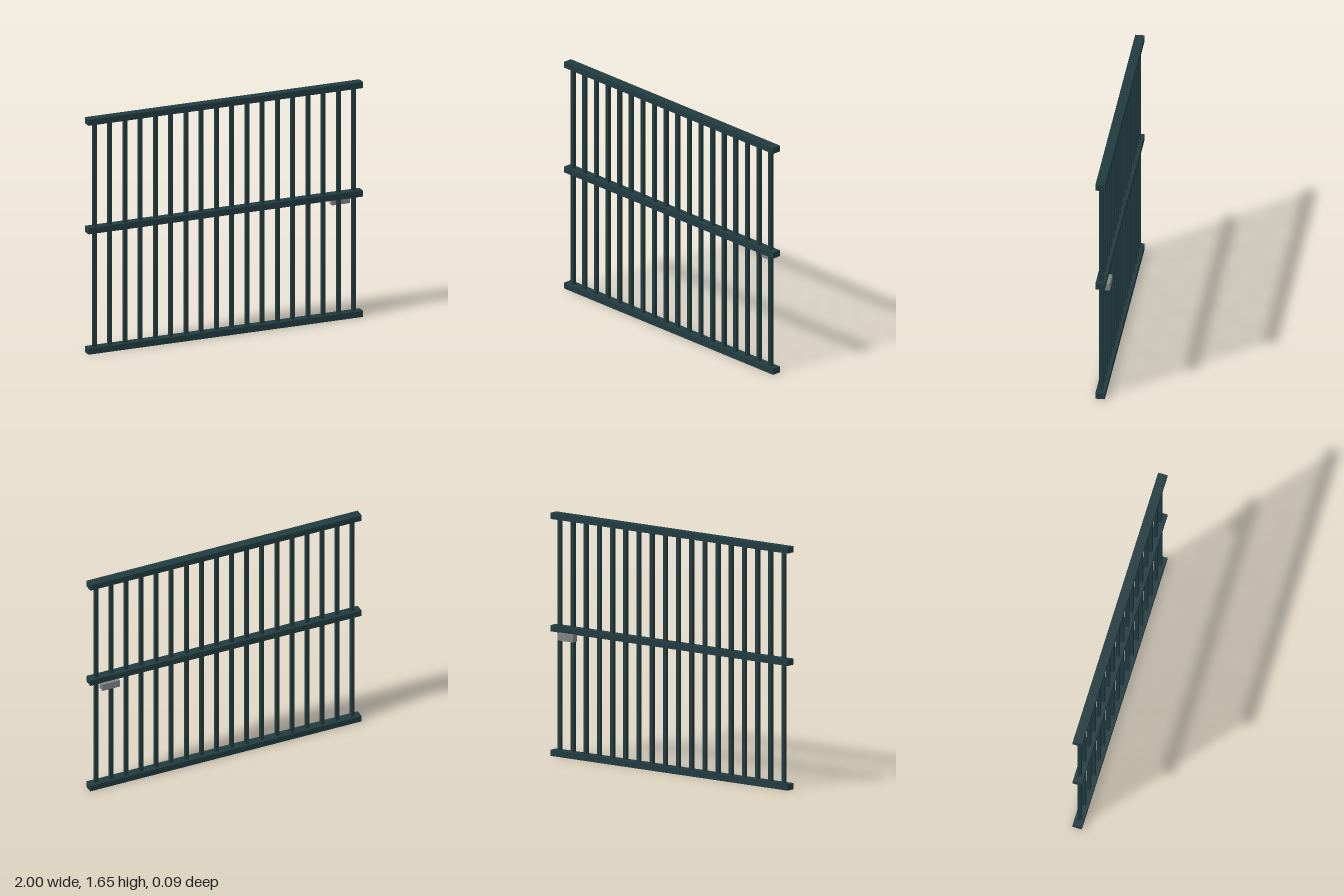
import * as THREE from 'three';

export function createModel() {
  const model = new THREE.Group();
  model.name = 'barFence';

  const paint = new THREE.MeshStandardMaterial({ color: 0x213b40 });
  paint.name = 'dark green paint';
  const steel = new THREE.MeshStandardMaterial({ color: 0x808386 });
  steel.name = 'grey steel';

  function addBox(name, size, position, material) {
    const mesh = new THREE.Mesh(new THREE.BoxGeometry(...size), material);
    mesh.name = name;
    mesh.position.set(...position);
    model.add(mesh);
  }

  const height = 1.655, railHeight = 0.042, railDepth = 0.064, z = 0.012;

  // Three horizontal rails
  const rails = { bottomRail: railHeight / 2, middleRail: 0.869, topRail: height - railHeight / 2 };
  for (const [name, y] of Object.entries(rails)) {
    addBox(name, [2, railHeight, railDepth], [0, y, z], paint);
  }

  // Evenly spaced square bars, running between the outer rails
  const count = 18, spacing = 2 / count, barWidth = 0.025;
  for (let i = 0; i < count; i++) {
    const x = (i - (count - 1) / 2) * spacing;
    addBox('bar' + (i + 1), [barWidth, height - railHeight, barWidth], [x, height / 2, z], paint);
  }

  // Lock box behind the bars, just under the middle rail
  addBox('lockBox', [0.13, 0.05, 0.043], [0.857, 0.824, -0.0215], steel);

  return model;
}
